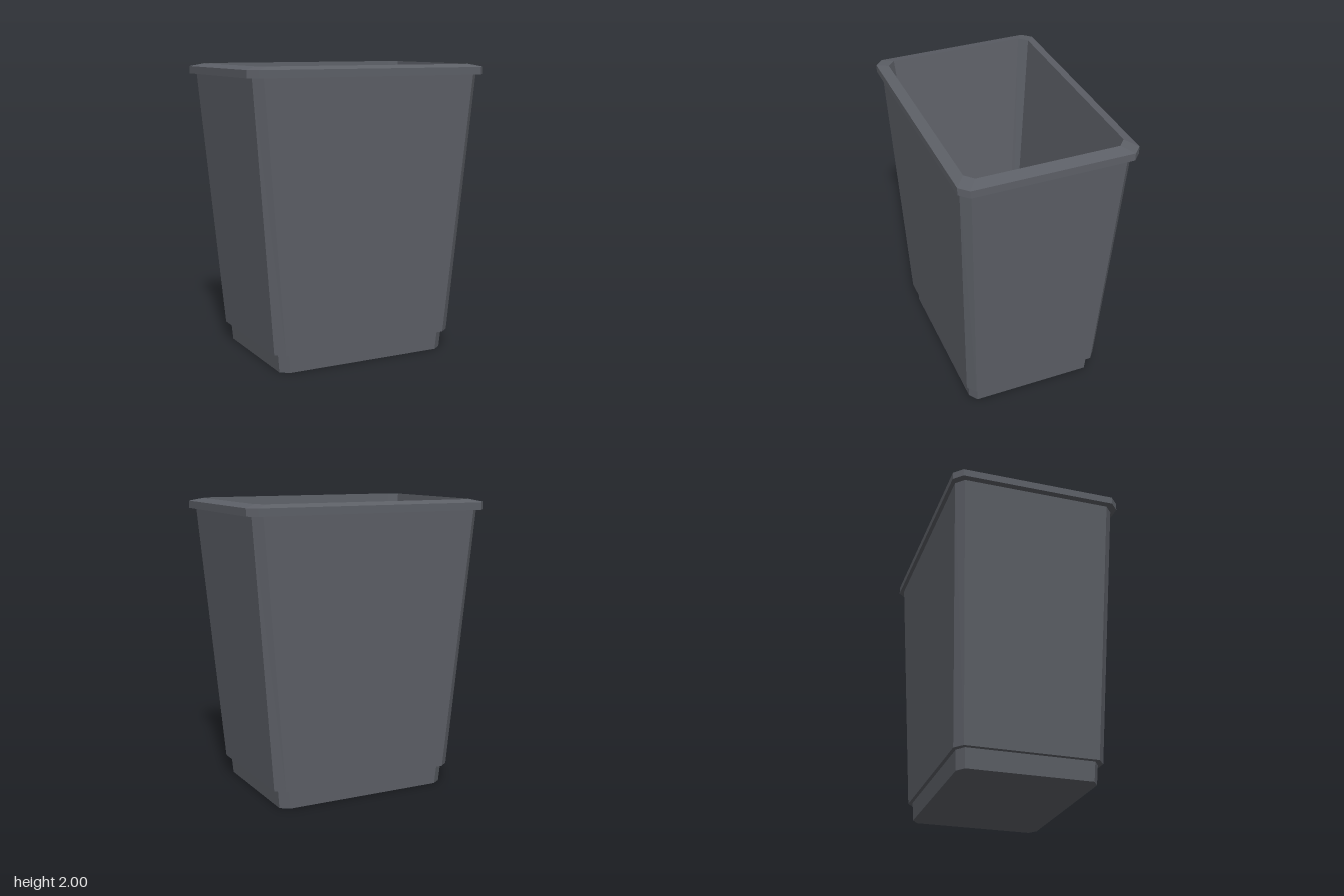
import * as THREE from 'three';

const plastic = new THREE.MeshStandardMaterial({ color: 0x5d6067 });
plastic.name = 'dark grey plastic';

// Rectangle with cut corners: half width, half depth, corner cuts along x and z
function ring(y, hx, hz, cx = 0.057, cz = 0.053) {
  const fx = hx - cx, fz = hz - cz;
  return [[hx, -fz], [hx, fz], [fx, hz], [-fx, hz], [-hx, fz], [-hx, -fz], [-fx, -hz], [fx, -hz]]
    .map(([x, z]) => new THREE.Vector3(x, y, z));
}

function flatMesh(name, points) {
  const geometry = new THREE.BufferGeometry().setFromPoints(points);
  geometry.computeVertexNormals(); // unshared corners give flat faces
  const mesh = new THREE.Mesh(geometry, plastic);
  mesh.name = name;
  return mesh;
}

// Skin joining successive rings
function loft(name, rings) {
  const points = [];
  for (let k = 0; k < rings.length - 1; k++) {
    const a = rings[k], b = rings[k + 1];
    for (let i = 0; i < a.length; i++) {
      const j = (i + 1) % a.length;
      points.push(a[i], b[i], b[j], a[i], b[j], a[j]);
    }
  }
  return flatMesh(name, points);
}

// Flat panel filling a ring
function cap(name, r, facesUp) {
  const points = [];
  for (let i = 1; i < r.length - 1; i++) {
    points.push(r[0], ...(facesUp ? [r[i + 1], r[i]] : [r[i], r[i + 1]]));
  }
  return flatMesh(name, points);
}

export function createModel() {
  const bin = new THREE.Group();
  bin.name = 'wasteBin';

  const foot = ring(0, 0.62, 0.46, 0.06, 0.042);
  const footTop = ring(0.13, 0.632, 0.466, 0.06, 0.042);
  const bodyBottom = ring(0.13, 0.665, 0.49, 0.062, 0.05);
  const bodyTop = ring(1.93, 0.823, 0.56);
  const rimBottom = ring(1.93, 0.868, 0.587, 0.06, 0.058);
  const rimEdge = ring(1.98, 0.868, 0.587, 0.06, 0.058);
  const opening = ring(2, 0.784, 0.52);
  const floor = ring(0.06, 0.602, 0.35, 0.04, 0.035);

  bin.add(
    cap('underside', foot, false),
    loft('recessedFoot', [foot, footTop, bodyBottom]),
    loft('outerWalls', [bodyBottom, bodyTop]),
    loft('rim', [bodyTop, rimBottom, rimEdge, opening]),
    loft('innerWalls', [opening, floor]),
    cap('innerFloor', floor, true),
  );
  return bin;
}
